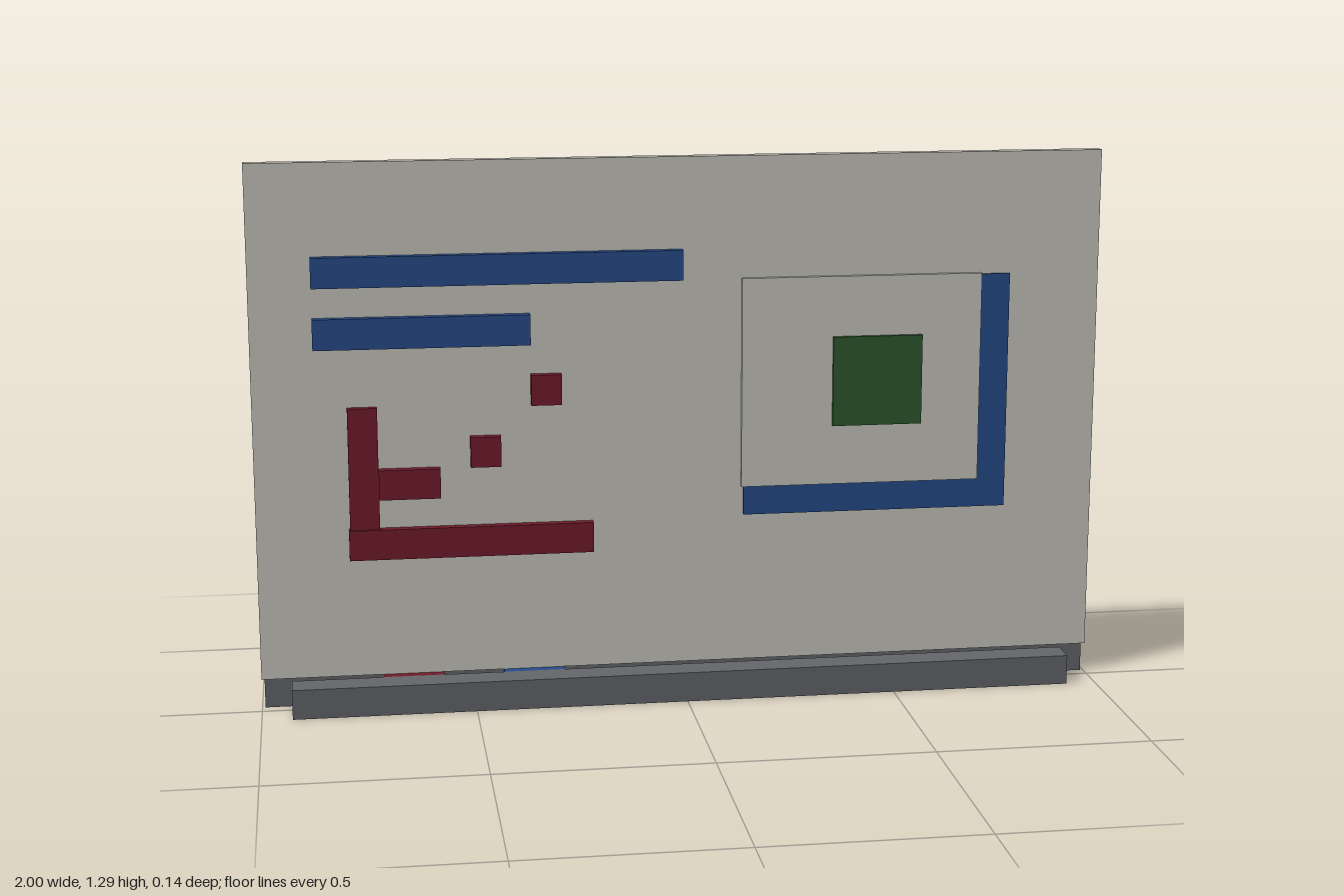
import * as THREE from 'three';

const paint = (name, color) => {
  const m = new THREE.MeshStandardMaterial({ color });
  m.name = name;
  return m;
};

export function createModel() {
  const group = new THREE.Group();
  group.name = 'whiteboard';

  const white = paint('board white', 0xcac9c1);
  const grey = paint('frame grey', 0x65676b);
  const blue = paint('marker blue', 0x274c8c);
  const red = paint('marker red', 0x731c2a);
  const green = paint('marker green', 0x305a2e);

  // Box given by its limits on each axis
  const box = (name, mat, x0, x1, y0, y1, z0, z1) => {
    const mesh = new THREE.Mesh(new THREE.BoxGeometry(x1 - x0, y1 - y0, z1 - z0), mat);
    mesh.position.set((x0 + x1) / 2, (y0 + y1) / 2, (z0 + z1) / 2);
    mesh.name = name;
    group.add(mesh);
  };

  // Drawing that pierces the board and shows on both sides
  const mid = -0.0357;
  const mark = (name, mat, x0, x1, y0, y1, half = 0.0357) =>
    box(name, mat, x0, x1, y0, y1, mid - half, mid + half);

  // Board, backing and tray
  box('board', white, -1, 1, 0.071, 1.286, -0.05, -0.0214);
  box('backing', grey, -0.993, 0.993, 0, 1.279, -0.0504, -0.0286);
  box('tray', grey, -0.929, 0.929, 0, 0.071, 0, 0.071);

  // Pens held behind the tray
  box('redPen', red, -0.714, -0.571, 0, 0.071, -0.0714, 0);
  box('bluePen', blue, -0.429, -0.286, 0, 0.071, -0.0714, 0);

  // Written lines
  mark('longLine', blue, -0.857, 0, 1, 1.071);
  mark('shortLine', blue, -0.857, -0.357, 0.857, 0.929);

  // Chart
  mark('chartBase', red, -0.786, -0.214, 0.357, 0.429);
  mark('chartAxis', red, -0.783, -0.714, 0.429, 0.718, 0.031);
  mark('chartStep', red, -0.714, -0.571, 0.5, 0.571);
  mark('chartPointLow', red, -0.5, -0.429, 0.571, 0.643);
  mark('chartPointHigh', red, -0.357, -0.286, 0.714, 0.786);

  // Framed diagram with offset backing
  mark('diagramShadow', blue, 0.146, 0.783, 0.431, 0.997, 0.0214);
  mark('diagramPanel', white, 0.14, 0.714, 0.5, 1, 0.0255);
  mark('diagramSquare', green, 0.357, 0.571, 0.643, 0.857);

  return group;
}
